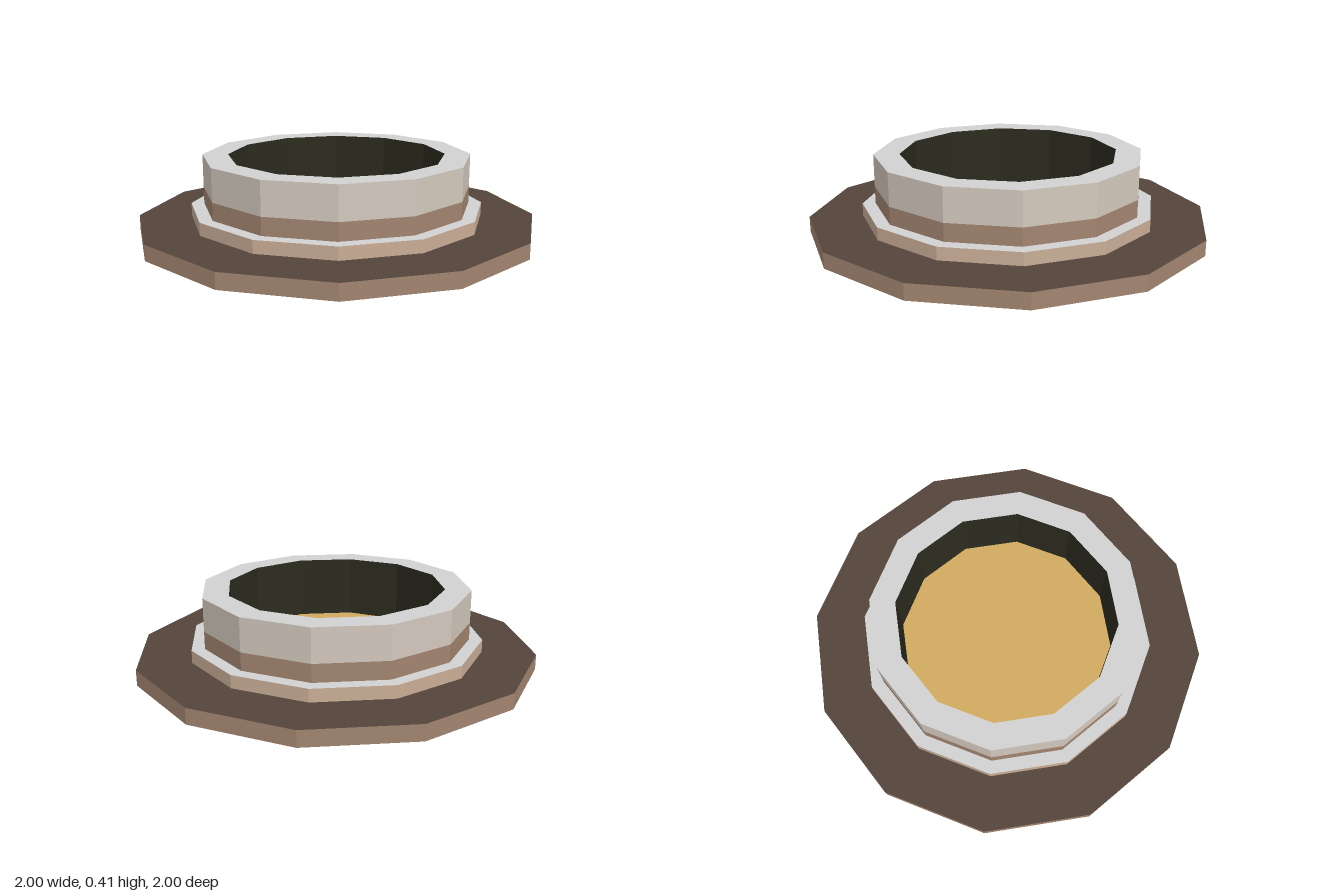
import * as THREE from 'three';

const SIDES = 12;
const TURN = Math.PI / SIDES; // flats face the x and z axes
const toCorner = (flat) => flat / Math.cos(TURN);

function material(name, color) {
  return new THREE.MeshStandardMaterial({ name, color, flatShading: true, side: THREE.DoubleSide });
}

export function createModel() {
  const group = new THREE.Group();
  group.name = 'steppedRoundBasin';

  const darkBrown = material('dark brown', 0x54453a);
  const brown = material('brown', 0xa28570);
  const tan = material('tan', 0xc9ad96);
  const paleStone = material('pale stone', 0xd3c8bd);
  const grey = material('light grey', 0xd1d1d1);
  const shade = material('dark olive', 0x2c2b1f);
  const gold = material('gold', 0xd1aa5f);

  function add(name, geometry, mat) {
    const mesh = new THREE.Mesh(geometry, mat);
    mesh.name = name;
    group.add(mesh);
    return mesh;
  }

  // Upright twelve-sided wall, sized by the distance to its flats
  function wall(name, flat, y0, y1, mat) {
    const r = toCorner(flat);
    const g = new THREE.CylinderGeometry(r, r, y1 - y0, SIDES, 1, true, TURN);
    add(name, g.translate(0, (y0 + y1) / 2, 0), mat);
  }

  // Level twelve-sided ring
  function ring(name, inner, outer, y, mat) {
    const g = new THREE.RingGeometry(toCorner(inner), toCorner(outer), SIDES, 1, TURN);
    add(name, g.rotateX(-Math.PI / 2).translate(0, y, 0), mat);
  }

  // Wide base flange
  wall('baseEdge', 1, 0, 0.08, brown);
  ring('baseTop', 0.735, 1, 0.08, darkBrown);
  ring('baseUnderside', 0.735, 1, 0, darkBrown);

  // Step
  wall('stepWall', 0.735, 0, 0.145, tan);
  ring('stepTop', 0.67, 0.735, 0.145, grey);

  // Upper collar with a darker lower band
  wall('collarBand', 0.67, 0.145, 0.235, brown);
  wall('collarWall', 0.67, 0.235, 0.405, paleStone);
  ring('rim', 0.542, 0.67, 0.405, grey);

  // Well and its floor
  wall('innerWall', 0.542, 0.08, 0.405, shade);
  const floor = new THREE.CircleGeometry(toCorner(0.542), SIDES, TURN);
  add('floor', floor.rotateX(-Math.PI / 2).translate(0, 0.08, 0), gold);

  return group;
}
